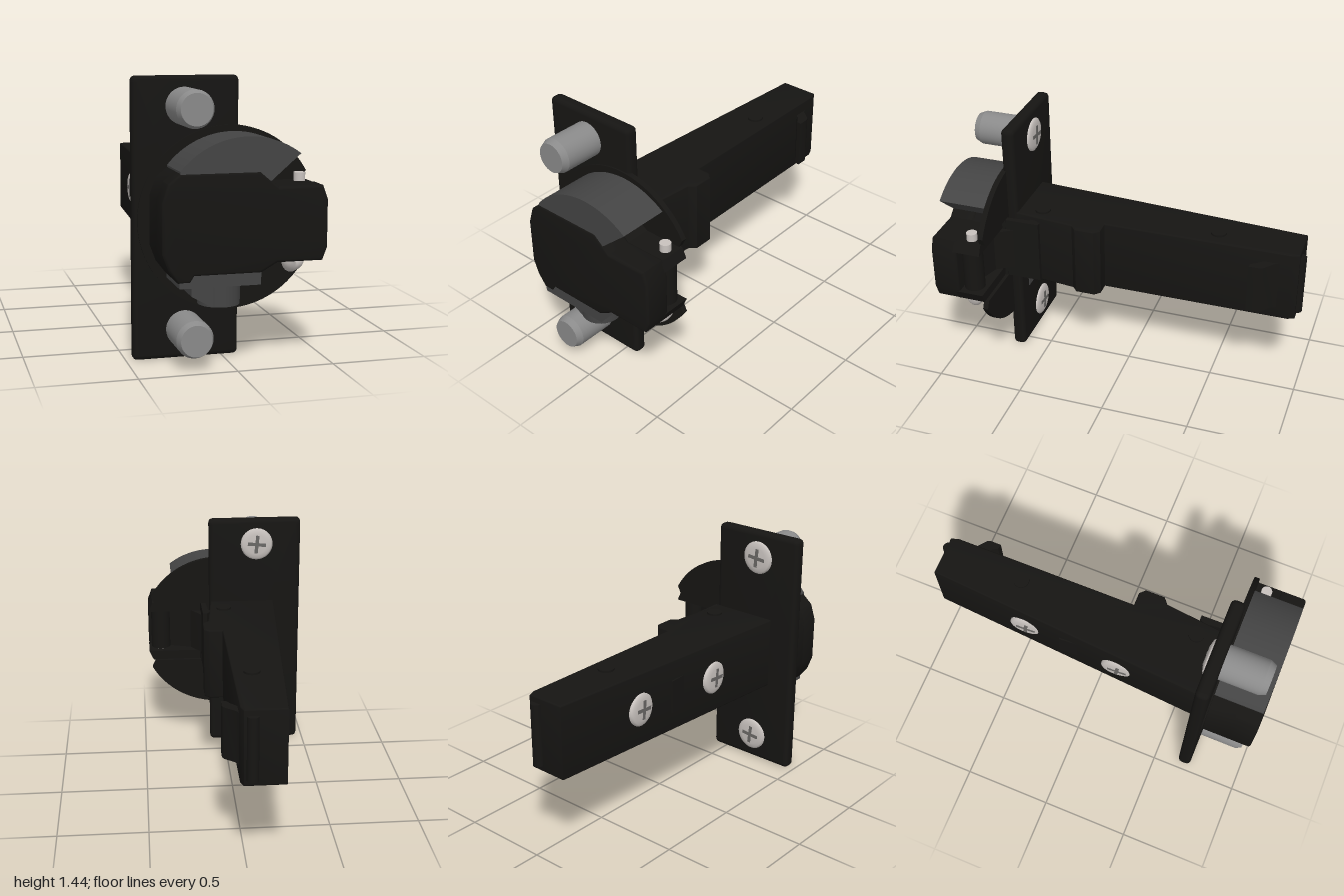
import * as THREE from 'three';
import { toCreasedNormals } from 'three/addons/utils/BufferGeometryUtils.js';

const mat = (color) => new THREE.MeshStandardMaterial({ color, side: THREE.DoubleSide });
const MID = 0.72; // height of the hinge axis

export function createModel() {
  const group = new THREE.Group();
  const black = mat(0x161513), grey = mat(0x444444), steel = mat(0x8a8a8a), bright = mat(0xc8c2be), slot = mat(0x6a6866);

  const add = (name, geo, material, parent = group) => {
    const mesh = new THREE.Mesh(geo, material);
    mesh.name = name;
    parent.add(mesh);
    return mesh;
  };
  const poly = (pts) => new THREE.Shape(pts.map(([x, y]) => new THREE.Vector2(x, y)));
  // Extrudes a shape from z0 to z1, keeping its outline when bevelled
  const slab = (shape, z0, z1, bevel = 0) => {
    const geo = new THREE.ExtrudeGeometry(shape, {
      depth: z1 - z0 - 2 * bevel, curveSegments: 40, bevelEnabled: bevel > 0,
      bevelSize: bevel, bevelThickness: bevel, bevelOffset: -bevel, bevelSegments: 3,
    });
    geo.translate(0, 0, z0 + bevel);
    return toCreasedNormals(geo, 0.6);
  };
  // Extrudes an (x, z) outline upward from y0 to y1
  const prism = (pts, y0, y1, bevel = 0) =>
    slab(poly(pts.map(([x, z]) => [x, -z])), y0, y1, bevel).rotateX(-Math.PI / 2);
  const box = (x0, x1, y0, y1, z0, z1) =>
    new THREE.BoxGeometry(x1 - x0, y1 - y0, z1 - z0).translate((x0 + x1) / 2, (y0 + y1) / 2, (z0 + z1) / 2);
  const rod = (r, x, z, y0, y1, n = 32) =>
    new THREE.CylinderGeometry(r, r, y1 - y0, n).translate(x, (y0 + y1) / 2, z);

  // Screw head facing -z, with a cross recess
  const screwHead = (name, x, y, z, turn = 0) => {
    const head = new THREE.Group();
    head.name = name;
    const profile = [[0, 0.016], [0.06, 0.014], [0.085, 0.008], [0.096, 0], [0.096, -0.02]];
    add('head', new THREE.LatheGeometry(profile.map(([r, h]) => new THREE.Vector2(r, h)), 40).rotateX(-Math.PI / 2), bright, head);
    for (const a of [0, Math.PI / 2]) {
      add('crossSlot', new THREE.BoxGeometry(0.11, 0.02, 0.006).rotateZ(a + 0.1).translate(0, 0, -0.015), slot, head);
    }
    head.position.set(x, y, z);
    head.rotation.y = turn;
    group.add(head);
  };

  // Mounting plate with rounded corners
  const plate = new THREE.Shape();
  const [l, r, t, c] = [-0.465, 0.087, 1.44, 0.03];
  plate.moveTo(l + c, 0).lineTo(r - c, 0).quadraticCurveTo(r, 0, r, c).lineTo(r, t - c);
  plate.quadraticCurveTo(r, t, r - c, t).lineTo(l + c, t).quadraticCurveTo(l, t, l, t - c);
  plate.lineTo(l, c).quadraticCurveTo(l, 0, l + c, 0);
  add('mountingPlate', slab(plate, 0.637, 0.712, 0.025), black);

  // Dowels on the front of the plate, screw heads on its back
  const dowel = [[0, 0.965], [0.08, 0.965], [0.095, 0.93], [0.095, 0.7]];
  for (const y of [0.155, 1.29]) {
    const geo = new THREE.LatheGeometry(dowel.map(([a, b]) => new THREE.Vector2(a, b)), 40).rotateX(Math.PI / 2);
    add('dowel', toCreasedNormals(geo, 0.4).translate(-0.2, y, 0), steel);
    screwHead('plateScrew', -0.2, y, 0.632);
  }
  add('plateWindow', box(-0.08, -0.02, 0.37, 0.43, 0.634, 0.66), grey);

  // Round flange, notched on the right where the arm enters
  const flange = new THREE.Shape();
  const a0 = Math.asin(0.23 / 0.472);
  flange.absarc(0.03, MID, 0.472, a0, Math.PI * 2 - a0, false);
  flange.lineTo(0.42, 0.535).lineTo(0.14, 0.535).lineTo(0.14, 0.905).lineTo(0.42, 0.905);
  add('flange', slab(flange, 0.69, 0.72), black);

  // Cup body
  const cup = new THREE.Shape();
  cup.moveTo(0.315, 0.9);
  cup.absarc(0.05, MID, 0.44, Math.atan2(0.351, 0.265), Math.atan2(0.279, -0.34), false);
  cup.lineTo(-0.295, 0.43).lineTo(0.117, 0.43).lineTo(0.117, 0.9);
  add('cupBody', slab(cup, 0.715, 0.995), grey);

  // Cup cover: front cap, solid left part and two cheeks beside the open slot
  const cover = [[-0.29, 0.99], [-0.35, 0.94], [-0.38, 0.85], [-0.38, 0.6], [-0.35, 0.52], [-0.3, 0.455], [-0.24, 0.455],
    [-0.22, 0.487], [0.115, 0.487], [0.2, 0.535], [0.435, 0.535], [0.46, 0.6], [0.46, 0.84], [0.435, 0.91], [0.205, 0.91], [0.11, 0.99]];
  add('coverFront', slab(poly(cover), 0.85, 1, 0.015), black);
  add('coverSide', slab(poly([...cover.slice(0, 9), [0.14, 0.5], [0.14, 0.965], [0.11, 0.99]]), 0.71, 0.88), black);
  for (const s of [-1, 1]) {
    const cheek = [[0.13, 0.13], [0.46, 0.13], [0.435, 0.186], [0.205, 0.186], [0.13, 0.24]];
    add('coverCheek', slab(poly(cheek.map(([x, y]) => [x, MID + s * y])), 0.71, 0.87), black);
  }

  // Damper below the cup
  add('damper', rod(0.107, -0.052, 0.828, 0.31, 0.45), grey);
  add('damperLug', slab(poly([[-0.215, 0.45], [-0.215, 0.37], [-0.11, 0.31], [-0.05, 0.31], [-0.05, 0.45]]), 0.74, 0.92), grey);

  // Pivot pin and the bent wire that returns beside it
  add('pivotPin', rod(0.03, 0.385, 0.78, 0.52, 0.95), bright);
  const bend = new THREE.CatmullRomCurve3([[0.295, 0.57, 0.88], [0.295, 0.52, 0.88], [0.31, 0.492, 0.862],
    [0.34, 0.487, 0.83], [0.37, 0.492, 0.797], [0.385, 0.52, 0.78], [0.385, 0.57, 0.78]].map((p) => new THREE.Vector3(...p)));
  add('bentWire', new THREE.TubeGeometry(bend, 32, 0.035, 16), bright);

  // Link from the arm to the pivot
  add('linkRoll', rod(0.058, 0.385, 0.785, 0.6, 0.845), black);
  add('linkPlate', prism([[0.06, 0.55], [0.12, 0.62], [0.2, 0.74], [0.385, 0.8], [0.385, 0.84], [0.18, 0.79], [0.06, 0.68]], 0.6, 0.845), black);
  add('neckStrip', prism([[0.08, 0.55], [0.11, 0.495], [0.135, 0.495], [0.138, 0.72], [0.11, 0.72], [0.1, 0.56]], 0.535, 0.905), black);

  // Tapered arm with its step near the plate
  add('arm', prism([[-0.305, 0.65], [-0.195, -0.97], [0.025, -0.97], [0.04, -0.93], [0.045, 0.13], [0.12, 0.13], [0.15, 0.16],
    [0.15, 0.27], [0.115, 0.3], [0.09, 0.55], [0.08, 0.65]], 0.512, 0.93, 0.008), black);
  add('armEndLip', rod(0.031, -0.02, -0.969, 0.545, 0.895, 20), black);
  add('releaseHook', prism([[0.03, -0.89], [0.05, -0.84], [0.11, -0.79], [0.118, -0.77], [0.118, -0.71], [0.09, -0.715],
    [0.075, -0.74], [0.04, -0.78]], 0.58, 0.865), black);
  for (const [x, z] of [[0.01, 0.51], [-0.06, -0.5]]) add('armRivet', rod(0.044, x, z, 0.502, 0.941), black);

  // Adjusting screws and window on the sloping left face
  const face = (z) => -0.305 + (0.65 - z) * 0.068;
  const turn = Math.PI / 2 + 0.068;
  for (const z of [0.16, -0.41]) screwHead('adjustingScrew', face(z), MID, z, turn);
  const window = add('armWindow', new THREE.BoxGeometry(0.15, 0.19, 0.008), black);
  window.position.set(face(-0.12), MID, -0.12);
  window.rotation.y = turn;

  return group;
}
